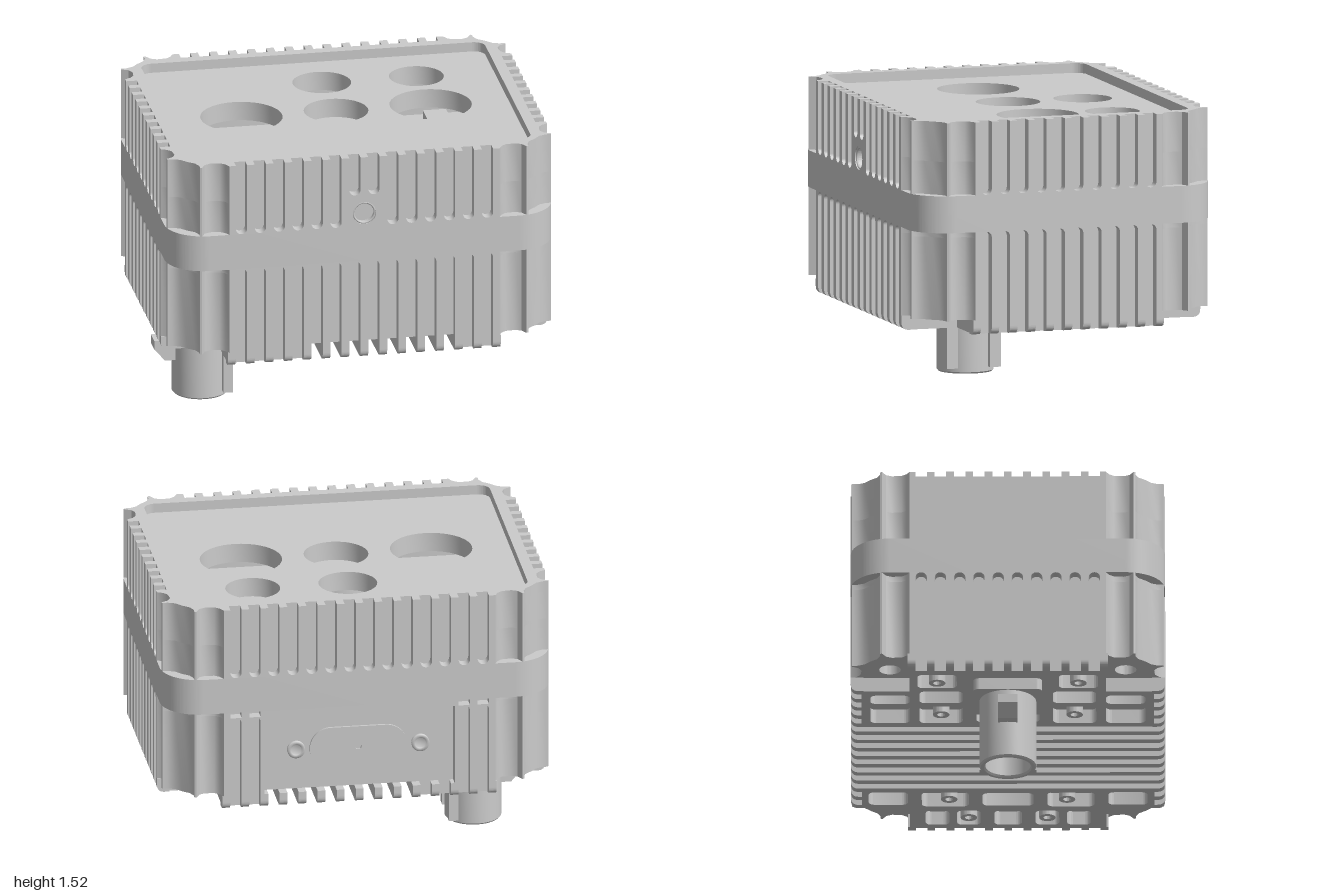
import * as THREE from 'three';
import { mergeGeometries, toCreasedNormals } from 'three/addons/utils/BufferGeometryUtils.js';

const PITCH = 0.098, HALF_GROOVE = 0.029, DEPTH = 0.055;
const Y = { bottom: 0.43, base: 0.505, panelTop: 0.93, bandLow: 0.96, bandTop: 1.15, boss: 1.32, lid: 1.475, top: 1.525 };

// Half of the scalloped corner, as [inset along the side, inset from the side]
const CORNER = [[0.3, 0], [0.285, 0.03], [0.26, 0.05], [0.21, 0.055], [0.18, 0.04], [0.16, 0.004],
  [0.15, 0.007], [0.15, 0.035], [0.135, 0.07], [0.1, 0.1]];

const centres = (n) => Array.from({ length: 2 * n }, (_, i) => (i - n + 0.5) * PITCH);
const grooves = (n, gap = 0) => centres(n).filter((c) => Math.abs(c) > gap)
  .map((c) => [c - HALF_GROOVE, c + HALF_GROOVE]);
const FRONT = grooves(7), SIDE = grooves(5);

// Finned outline of the housing; shape y is -z
function finnedOutline(front, back) {
  const pts = [];
  const place = [(u, v) => [u, -v], (u, v) => [v, u], (u, v) => [-u, v], (u, v) => [-v, -u]];
  [front, SIDE, back, SIDE].forEach((list, i) => {
    const [A, D] = i % 2 ? [0.8, 1] : [1, 0.8];
    const add = (u, v) => pts.push(new THREE.Vector2(...place[i](u, v)));
    CORNER.slice(0, -1).reverse().forEach(([a, b]) => add(a - A, D - b));
    for (const [s, e] of list) {
      add(s, D); add(s, D - DEPTH); add(e, D - DEPTH); add(e, D);
    }
    CORNER.forEach(([a, b]) => add(A - a, D - b));
  });
  return new THREE.Shape(pts);
}

function roundedRect(w, h, r, cx = 0, cy = 0) {
  const s = new THREE.Shape(), x = w / 2 - r, y = h / 2 - r, q = Math.PI / 2;
  [[x, y], [-x, y], [-x, -y], [x, -y]].forEach(([px, py], i) =>
    s.absarc(cx + px, cy + py, r, i * q, (i + 1) * q, false));
  return s;
}

const circle = (x, y, r) => new THREE.Path().absarc(x, y, r, 0, Math.PI * 2, true);
const extrude = (shape, depth) => new THREE.ExtrudeGeometry(shape, { depth, bevelEnabled: false, curveSegments: 20 });
// Extrude a plan shape upward from y0 to y1
const slab = (shape, y0, y1) => toCreasedNormals(extrude(shape, y1 - y0).rotateX(-Math.PI / 2).translate(0, y0, 0), 0.6);
const box = (x0, x1, y0, y1, z0, z1) => new THREE.BoxGeometry(x1 - x0, y1 - y0, z1 - z0)
  .translate((x0 + x1) / 2, (y0 + y1) / 2, (z0 + z1) / 2);

export function createModel() {
  const model = new THREE.Group();
  const material = new THREE.MeshStandardMaterial({ color: 0xcccccc, side: THREE.DoubleSide });
  const add = (name, ...geos) => {
    const flat = geos.map((g) => (g.index ? g.toNonIndexed() : g));
    const mesh = new THREE.Mesh(flat.length > 1 ? mergeGeometries(flat) : flat[0], material);
    mesh.name = name;
    model.add(mesh);
  };

  // Lower housing, with a recessed panel at the back and corner screw holes below
  const outerBack = grooves(7, 0.5);
  const lower = finnedOutline(FRONT, [...outerBack.slice(0, 2), [-0.49, 0.49], ...outerBack.slice(2)]);
  for (const x of [-0.8, 0.8]) for (const z of [-0.6, 0.6]) lower.holes.push(circle(x, z, 0.055));
  add('lowerHousing', slab(lower, Y.base, Y.panelTop),
    slab(finnedOutline(FRONT, outerBack), Y.panelTop, Y.bandLow));

  // Smooth band around the middle
  add('middleBand', slab(roundedRect(2, 1.6, 0.2), Y.bandLow, Y.bandTop));

  // Upper housing walls; the two middle front grooves join around the port
  const cavity = roundedRect(1.78, 1.38, 0.06);
  const wideFront = [...FRONT.slice(0, 6), [-0.078, 0.078], ...FRONT.slice(8)];
  const upperParts = [[wideFront, Y.bandTop, Y.boss], [FRONT, Y.boss, Y.top]].map(([front, y0, y1]) => {
    const s = finnedOutline(front, FRONT);
    s.holes.push(cavity);
    return slab(s, y0, y1);
  });
  add('upperHousing', ...upperParts);

  // Sunken lid with five round openings
  const lid = roundedRect(1.78, 1.38, 0.06);
  [[-0.49, 0, 0.21], [0, 0, 0.165], [0.49, 0, 0.21], [0, 0.4, 0.15], [0.49, 0.4, 0.14]]
    .forEach(([x, y, r]) => lid.holes.push(circle(x, y, r)));
  add('lid', slab(lid, Y.lid - 0.1, Y.lid));

  // Port boss on the front
  const boss = new THREE.Shape([[-0.078, Y.bandTop], [0.078, Y.bandTop], [0.078, Y.boss], [-0.078, Y.boss]]
    .map((p) => new THREE.Vector2(...p)));
  boss.holes.push(circle(0, 1.22, 0.06));
  add('frontPort', extrude(boss, DEPTH).translate(0, 0, 0.8 - DEPTH),
    new THREE.TorusGeometry(0.055, 0.006, 6, 32).translate(0, 1.22, 0.79));

  // Rounded groove ends
  const endShape = new THREE.Shape();
  endShape.moveTo(-HALF_GROOVE, 0);
  endShape.lineTo(HALF_GROOVE, 0);
  endShape.lineTo(HALF_GROOVE, HALF_GROOVE);
  endShape.absarc(0, HALF_GROOVE, HALF_GROOVE, 0, Math.PI, true);
  const ends = [];
  const grooveEnd = (turn, dist, u, y, down) => {
    const g = extrude(endShape, DEPTH);
    if (down) g.rotateZ(Math.PI);
    ends.push(g.translate(u, y, dist - DEPTH).rotateY(turn * Math.PI / 2));
  };
  for (let turn = 0; turn < 4; turn++) {
    const long = turn % 2 === 0, dist = long ? 0.8 : 1;
    for (const u of centres(long ? 7 : 5)) {
      const atPort = turn === 0 && Math.abs(u) < 0.06;
      grooveEnd(turn, dist, u, atPort ? Y.boss : Y.bandTop, false);
      if (turn !== 2 || Math.abs(u) > 0.5) grooveEnd(turn, dist, u, turn === 2 ? Y.panelTop : Y.bandLow, true);
    }
  }
  add('grooveEnds', ...ends);

  // Cooling fins below: long ones across the middle, stubs around the rim
  const finShape = (z0, z1, r0, r1) => {
    const s = new THREE.Shape();
    s.moveTo(z0, Y.base);
    s.lineTo(z0, Y.bottom + r0);
    s.quadraticCurveTo(z0, Y.bottom, z0 + r0, Y.bottom);
    s.lineTo(z1 - r1, Y.bottom);
    s.quadraticCurveTo(z1, Y.bottom, z1, Y.bottom + r1);
    s.lineTo(z1, Y.base);
    return s;
  };
  const fin = (shape, turn, u) => extrude(shape, 0.04).translate(0, 0, -0.02)
    .rotateY(-Math.PI / 2).translate(u, 0, 0).rotateY(turn * Math.PI / 2);
  const fins = [];
  for (let k = -7; k <= 7; k++) {
    if (k >= -2 && k <= 4) fins.push(fin(finShape(-0.8, 0.8, 0.04, 0.04), 0, k * PITCH));
    else for (const t of [0, 2]) fins.push(fin(finShape(0.735, 0.8, 0, 0.04), t, (t ? -k : k) * PITCH));
    if (Math.abs(k) <= 5) for (const t of [1, 3]) fins.push(fin(finShape(0.935, 1, 0, 0.04), t, k * PITCH));
  }
  add('bottomFins', ...fins);

  // Pocketed blocks at both ends of the underside
  const endBlock = (side, inner, pockets) => {
    const half = [[inner, 0.745], [0.7, 0.745], [0.7, 0.5], [0.945, 0.5]];
    const pts = [...half, ...half.map(([x, z]) => [x, -z]).reverse()];
    const s = new THREE.Shape(pts.map(([x, z]) => new THREE.Vector2(side * x, z)));
    for (const [x, z, w, h] of pockets)
      for (const m of z ? [-1, 1] : [1]) s.holes.push(roundedRect(w, h, 0.03, side * x, m * z));
    return slab(s, Y.bottom, Y.base);
  };
  const bosses = [];
  for (const [x, z] of [[0.6, 0.3], [0.82, 0.2], [-0.42, 0.34], [-0.8, 0.36]])
    for (const m of [-1, 1]) {
      const ring = new THREE.Shape().absarc(x, m * z, 0.042, 0, Math.PI * 2, false);
      ring.holes.push(circle(x, m * z, 0.02));
      bosses.push(slab(ring, Y.bottom, Y.base));
    }
  add('bottomEndBlocks',
    endBlock(1, 0.47, [[0.59, 0.61, 0.15, 0.2], [0.6, 0.32, 0.17, 0.24], [0.6, 0, 0.15, 0.26],
      [0.82, 0.36, 0.17, 0.12], [0.82, 0.2, 0.17, 0.12], [0.82, 0, 0.17, 0.14]]),
    endBlock(-1, 0.275, [[0.42, 0.6, 0.2, 0.2], [0.6, 0.6, 0.1, 0.2], [0.42, 0.34, 0.2, 0.22],
      [0.42, 0, 0.18, 0.32], [0.63, 0.34, 0.14, 0.22], [0.82, 0.36, 0.16, 0.2]]),
    ...bosses);

  // Cover plate and screws in the back panel
  const zBack = -0.8 + DEPTH;
  const plate = roundedRect(0.5, 0.22, 0.109, 0, 0.72);
  plate.holes.push(circle(0, 0.72, 0.016));
  add('backCover', toCreasedNormals(extrude(plate, 0.012).translate(0, 0, zBack - 0.012), 0.6));
  add('backScrews', ...[-0.32, 0.32].map((x) => new THREE.LatheGeometry(
    [[0, 0.004], [0.028, 0.004], [0.028, 0.014], [0.046, 0.014], [0.046, 0]].map((p) => new THREE.Vector2(...p)), 28)
    .rotateX(-Math.PI / 2).translate(x, 0.72, zBack)));

  // Plug connector hanging below: flange, hollow barrel, ribs and latch
  const cx = -0.705;
  add('connectorFlange', slab(roundedRect(0.31, 0.35, 0.03, cx, 0), 0.37, 0.44));
  const barrel = [[0, 0.3], [0.115, 0.3], [0.115, 0.01], [0.122, 0], [0.138, 0], [0.145, 0.008], [0.145, 0.38]]
    .map((p) => new THREE.Vector2(...p));
  add('connectorBarrel', toCreasedNormals(new THREE.LatheGeometry(barrel, 48).translate(cx, 0, 0), 0.6));
  add('connectorPin', new THREE.CylinderGeometry(0.02, 0.02, 0.2, 16).translate(cx, 0.2, 0));
  add('connectorRibs', box(-0.61, -0.56, 0.03, 0.38, 0.085, 0.145), box(-0.61, -0.56, 0.03, 0.38, -0.145, -0.085));
  const latch = new THREE.Shape([[-0.83, 0.19], [-0.83, 0.3], [-0.95, 0.3], [-0.95, 0.255], [-0.895, 0.19]]
    .map((p) => new THREE.Vector2(...p)));
  add('connectorLatch', extrude(latch, 0.1).translate(0, 0, -0.05));

  // Parts inside, seen through the lid openings
  add('innerParts', new THREE.CylinderGeometry(0.2, 0.2, 0.22, 40).translate(0, 1.26, 0),
    box(-0.7, -0.57, 1.15, 1.28, -0.15, 0.15), box(-0.15, 0.15, 1.15, 1.3, -0.4, -0.385),
    box(-0.07, 0.07, 1.15, 1.31, -0.43, -0.41), box(0.54, 0.66, 1.15, 1.25, -0.49, -0.31),
    new THREE.CylinderGeometry(0.22, 0.22, 0.12, 40).translate(0.67, 1.21, 0));

  return model;
}
